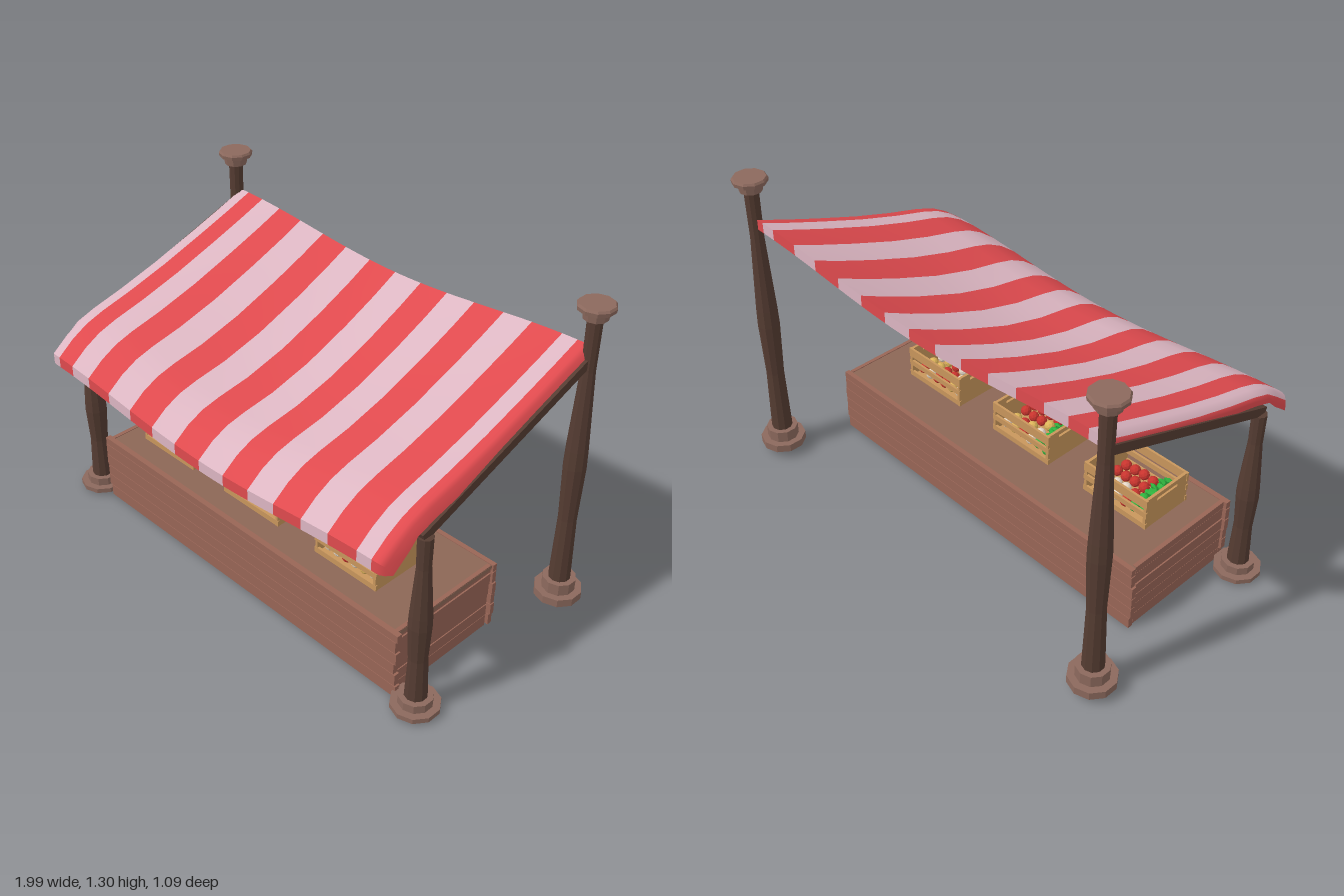
import * as THREE from 'three';

const mat = (color, flat = true) => new THREE.MeshStandardMaterial({ color, flatShading: flat });
const M = {
  post: mat(0x553c32), stone: mat(0x8c695d), plank: mat(0x986556), top: mat(0x8c6756), dark: mat(0x43322c),
  crate: mat(0xc8965c), red: mat(0xdf4a4e, false), white: mat(0xdcb6c2, false),
  tomato: mat(0xc8342e), leaf: mat(0x2eb23e), yellow: mat(0xdcb45a), pale: mat(0xe6d8c8),
};

let seed = 7;
const rnd = () => (seed = (seed * 16807) % 2147483647) / 2147483647;

function add(parent, name, geo, material, x = 0, y = 0, z = 0) {
  const m = new THREE.Mesh(geo, material);
  m.name = name;
  m.position.set(x, y, z);
  parent.add(m);
  return m;
}

// Box given by its minimum and maximum corners
function slab(parent, name, material, a, b) {
  const s = b.map((v, i) => v - a[i]);
  return add(parent, name, new THREE.BoxGeometry(...s), material, ...b.map((v, i) => (v + a[i]) / 2));
}

function lathe(parent, name, pts, material) {
  return add(parent, name, new THREE.LatheGeometry(pts.map(p => new THREE.Vector2(...p)), 10), material);
}

// Turned post on a stepped base, optionally with a cap
function post(name, x, z, base, y0, y1, cap) {
  const g = new THREE.Group();
  g.name = name;
  g.position.set(x, 0, z);
  const [b0, b1, b2] = base, h = y1 - y0;
  lathe(g, 'postBase', [[0, b0], [0.093, b0], [0.093, b1], [0.065, b1], [0.065, b2], [0, b2]], M.stone);
  lathe(g, 'postShaft', [[0, y0], [0.043, y0], [0.036, y0 + h * 0.25], [0.044, y0 + h * 0.46],
    [0.042, y0 + h * 0.53], [0.027, y0 + h * 0.82], [0.029, y1], [0, y1]], M.post);
  if (cap) {
    lathe(g, 'postCap', [[0, y1], [0.045, y1], [0.05, y1 + 0.03], [0.068, y1 + 0.035],
      [0.07, y1 + 0.05], [0.064, y1 + 0.058], [0, y1 + 0.058]], M.stone);
  }
  return g;
}

// Sagging striped cloth: closed slab, stripes share one set of smooth normals
function canopy() {
  const g = new THREE.Group();
  g.name = 'canopy';
  const T = 0.045, W = 0.912;
  // z, height at the sides, sag in the middle
  const prof = [[-0.465, 1.13, 0.06], [-0.35, 1.085, 0.075], [-0.2, 1.03, 0.09], [0, 0.96, 0.1], [0.18, 0.905, 0.095],
    [0.32, 0.868, 0.08], [0.4, 0.84, 0.07], [0.47, 0.8, 0.062], [0.54, 0.745, 0.06]];
  const edges = [-W, -0.9, -0.84, -0.755, -0.65, -0.525, -0.395, -0.265, -0.135, 0, 0.13, 0.26, 0.39, 0.525, 0.65, 0.78, 0.845, W];
  const cols = [];
  edges.slice(0, -1).forEach((a, i) => {
    for (let k = 0; k < 4; k++) cols.push({ x: a + (edges[i + 1] - a) * k / 4, red: i % 2 === 0 });
  });
  cols.push({ x: W });

  const point = ([z, y, sag], x, under) => {
    const e = Math.max(0, (Math.abs(x) - 0.87) / (W - 0.87));
    const drop = under ? T : T * (1 - Math.sqrt(Math.max(0, 1 - e * e)));
    return [x, y - sag * (1 + Math.cos(Math.PI * x / W)) / 2 - drop, z > 0.4 ? z - 0.03 * e * e : z];
  };
  const first = prof[0], last = prof[prof.length - 1];
  const sections = [
    prof.map(p => [p, false]),
    [[last, false], [last, true]],
    prof.map(p => [p, true]).reverse(),
    [[first, true], [first, false]],
  ];
  const pos = [], index = { red: [], white: [] };
  for (const rows of sections) {
    const start = pos.length / 3, n = cols.length;
    rows.forEach(([p, under], r) => cols.forEach((c, i) => {
      pos.push(...point(p, c.x, under));
      if (r === rows.length - 1 || i === n - 1) return;
      const a = start + r * n + i, b = a + n;
      index[c.red ? 'red' : 'white'].push(a, b, a + 1, b, b + 1, a + 1);
    }));
  }
  const whole = new THREE.BufferGeometry();
  whole.setAttribute('position', new THREE.Float32BufferAttribute(pos, 3));
  whole.setIndex([...index.red, ...index.white]);
  whole.computeVertexNormals();
  for (const key of ['red', 'white']) {
    const part = whole.clone();
    part.setIndex(index[key]);
    add(g, key + 'Stripes', part, M[key]);
  }
  return g;
}

// Counter clad in uneven horizontal planks
function counter() {
  const g = new THREE.Group();
  g.name = 'counter';
  slab(g, 'counterTop', M.top, [-0.812, 0.27, -0.155], [0.812, 0.287, 0.36]);
  slab(g, 'counterCore', M.dark, [-0.8, 0.006, -0.148], [0.8, 0.27, 0.352]);
  const rows = [0, 0.05, 0.102, 0.15, 0.203, 0.256, 0.29];
  for (let i = 0; i < rows.length - 1; i++) {
    const y0 = rows[i] + (i ? 0.003 : 0), y1 = rows[i + 1];
    for (const [z0, z1] of [[0.352, 0.375], [-0.17, -0.15]]) {
      slab(g, 'longPlank', M.plank, [-0.815 - rnd() * 0.015, y0, z0], [0.815 + rnd() * 0.015, y1, z1]);
    }
    for (const s of [-1, 1]) {
      const o = 0.808 + rnd() * 0.008;
      slab(g, 'endPlank', M.plank, [s > 0 ? 0.795 : -o, y0, -0.146 + rnd() * 0.008], [s > 0 ? o : -0.795, y1, 0.354]);
    }
  }
  return g;
}

// Slatted crate with handle holes, filled with produce
function crate(x, mix, leafy) {
  const g = new THREE.Group();
  g.name = 'crate';
  g.position.set(x, 0.287, 0.142);
  const w = 0.156, d = 0.117, h = 0.138;
  const end = new THREE.Shape([[-d, 0], [d, 0], [d, h], [-d, h]].map(p => new THREE.Vector2(...p)));
  end.holes.push(new THREE.Path([[-0.057, 0.107], [-0.057, 0.119], [0.057, 0.119], [0.057, 0.107]].map(p => new THREE.Vector2(...p))));
  const endGeo = new THREE.ExtrudeGeometry(end, { depth: 0.012, bevelEnabled: false }).rotateY(Math.PI / 2);
  add(g, 'crateEnd', endGeo, M.crate, -w + 0.003);
  add(g, 'crateEnd', endGeo, M.crate, w - 0.015);
  slab(g, 'crateFloor', M.crate, [-w + 0.01, 0.001, -d + 0.008], [w - 0.01, 0.008, d - 0.008]);
  for (const [a, b] of [[0.002, 0.026], [0.056, 0.08], [0.098, h]]) {
    for (const s of [-1, 1]) {
      const z = s * (d - 0.004);
      slab(g, 'crateSlat', M.crate, [-w, a, z - 0.005], [w, b, z + 0.005]);
    }
  }
  // Rows of round produce
  const ball = new THREE.IcosahedronGeometry(0.022, 1);
  for (let i = 0; i < 6; i++) for (let j = 0; j < 4; j++) {
    const green = leafy && i < 2;
    const m = green ? M.leaf : mix[Math.floor(rnd() * mix.length)];
    add(g, 'produce', ball, m, -0.113 + i * 0.045, 0.03 + rnd() * 0.012, -0.078 + j * 0.052);
  }
  // Leafy bunch
  if (leafy) {
    for (let i = 0; i < 7; i++) {
      const a = i * 0.9, leaf = add(g, 'leaf', new THREE.IcosahedronGeometry(0.022, 0), M.leaf,
        -0.095 + 0.025 * Math.cos(a), 0.062 + 0.012 * (i % 3), 0.03 + 0.045 * Math.sin(a));
      leaf.scale.set(1, 0.5, 1.2);
      leaf.rotation.set(rnd(), a, rnd());
    }
  }
  return g;
}

export function createModel() {
  const model = new THREE.Group();
  model.name = 'marketStall';

  for (const s of [-1, 1]) {
    model.add(post('frontPost', s * 0.907, 0.355, [0.012, 0.032, 0.066], 0.066, 0.77, false));
    model.add(post('backPost', s * 0.907, -0.458, [0.033, 0.066, 0.115], 0.115, 1.243, true));
    // Sloping beam between the posts
    const dz = -0.83, dy = 0.305;
    const beam = add(model, 'sideBeam', new THREE.BoxGeometry(0.03, 0.036, Math.hypot(dz, dy)), M.post, s * 0.902, 0.925, -0.04);
    beam.rotation.x = Math.atan2(dy, -dz);
  }

  model.add(canopy(), counter());
  model.add(crate(-0.55, [M.tomato, M.tomato, M.pale], true));
  model.add(crate(-0.05, [M.tomato, M.yellow, M.pale], true));
  model.add(crate(0.46, [M.yellow, M.tomato, M.pale], false));
  return model;
}
